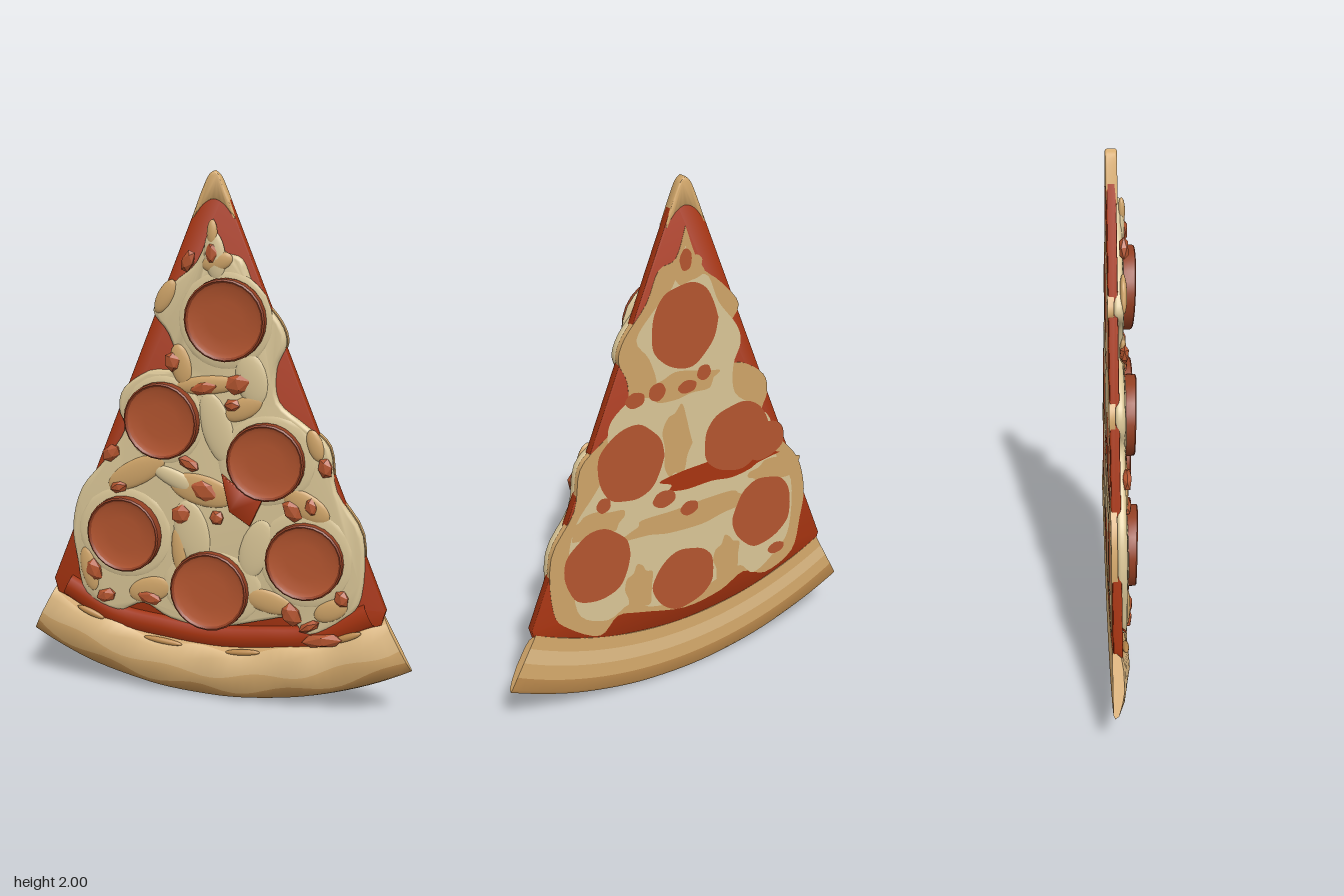
import * as THREE from 'three';
import { toCreasedNormals } from 'three/addons/utils/BufferGeometryUtils.js';

const paint = (name, color) => {
  const m = new THREE.MeshStandardMaterial({ color });
  m.name = name;
  return m;
};
const cheese = paint('cheese', 0xd9c596);
const browned = paint('browned cheese', 0xcfa468);
const sauce = paint('tomato sauce', 0xa83410);
const meat = paint('pepperoni', 0xb4552f);
const meatRim = paint('pepperoni rim', 0x923f22);
const crustLight = paint('light crust', 0xe2bd85);
const crustMid = paint('golden crust', 0xd6aa6c);
const crustDark = paint('baked crust', 0xbd8b4e);

const BACK = -0.055;

// Ragged outline of the melted cheese
const CHEESE = [
  [0, 1.83], [-0.06, 1.68], [-0.15, 1.6], [-0.23, 1.5], [-0.17, 1.41], [-0.14, 1.29], [-0.25, 1.27],
  [-0.35, 1.2], [-0.37, 1.12], [-0.35, 1.04], [-0.43, 0.92], [-0.53, 0.8], [-0.57, 0.65], [-0.555, 0.52],
  [-0.52, 0.38], [-0.39, 0.32], [-0.28, 0.36], [-0.17, 0.31], [0, 0.29], [0.2, 0.34], [0.3, 0.36],
  [0.38, 0.3], [0.51, 0.38], [0.57, 0.47], [0.57, 0.7], [0.47, 0.86], [0.44, 1.02], [0.35, 1.1],
  [0.25, 1.18], [0.24, 1.3], [0.275, 1.39], [0.25, 1.47], [0.16, 1.58], [0.11, 1.69], [0.04, 1.72],
];

function smoothShape(points) {
  const closed = [...points, points[0]].map(([x, y]) => new THREE.Vector2(x, y));
  const samples = new THREE.SplineCurve(closed).getPoints(points.length * 4);
  samples.pop();
  return new THREE.Shape(samples);
}
const polygon = (points) => new THREE.Shape(points.map(([x, y]) => new THREE.Vector2(x, y)));

// Wobbly round outline
function blobShape(x, y, rx, ry, wobble = 0.12) {
  const pts = [];
  for (let i = 0; i < 14; i++) {
    const a = (i / 14) * Math.PI * 2;
    const k = 1 + wobble * Math.sin(3 * a + x * 31 + y * 17) * Math.cos(2 * a + y * 23);
    pts.push([x + rx * k * Math.cos(a), y + ry * k * Math.sin(a)]);
  }
  return smoothShape(pts);
}

// Slab between two depths, with an optional rounded edge
function slab(shape, z0, z1, bevel = 0) {
  const g = new THREE.ExtrudeGeometry(shape, {
    depth: z1 - z0 - 2 * bevel, bevelEnabled: bevel > 0, bevelSize: bevel,
    bevelThickness: bevel, bevelOffset: -bevel, bevelSegments: 3,
  });
  g.translate(0, 0, z0 + bevel);
  return toCreasedNormals(g, 0.8);
}

// Curved rim swept along an arc, coloured in bands
function crustGeometry() {
  const cy = 1.615, half = 0.49, n = 36;
  const section = [
    [1.6, BACK], [1.615, -0.045], [1.606, -0.022], [1.57, 0], [1.51, 0.013], [1.45, 0.01],
    [1.412, -0.002], [1.375, -0.03], [1.375, BACK], [1.43, BACK], [1.49, BACK], [1.55, BACK],
  ];
  const bands = [2, 2, 2, 1, 0, 0, 1, 1, 1, 0, 1, 2];
  const m = section.length, pos = [], lists = [[], [], []];
  for (let i = 0; i <= n; i++) {
    const u = (i / n) * 2 - 1, a = u * half;
    const swell = 1 - 0.45 * Math.abs(u) ** 7 + 0.05 * Math.sin(u * 17);
    section.forEach(([r, z], j) => {
      const rr = r + (j > 2 && j < 8 ? 0.012 * Math.sin(u * 13 + j * 2) : 0);
      pos.push(rr * Math.sin(a), cy - rr * Math.cos(a), BACK + (z - BACK) * swell);
    });
  }
  for (let i = 0; i < n; i++) {
    for (let j = 0; j < m; j++) {
      const k = (j + 1) % m, a = i * m + j, b = a + m, c = (i + 1) * m + k, d = i * m + k;
      lists[bands[j]].push(a, b, c, a, c, d);
    }
  }
  for (let j = 1; j < m - 1; j++) {
    lists[1].push(0, j, j + 1, n * m, n * m + j + 1, n * m + j);
  }
  const g = new THREE.BufferGeometry();
  g.setAttribute('position', new THREE.Float32BufferAttribute(pos, 3));
  g.setIndex(lists.flat());
  let start = 0;
  lists.forEach((l, i) => { g.addGroup(start, l.length, i); start += l.length; });
  return toCreasedNormals(g, 0.9);
}

// Cupped slice with a raised rim
function pepperoni(x, y, r, tiltX, tiltY) {
  const group = new THREE.Group();
  group.name = 'pepperoniSlice';
  const lathe = (pts, mat, name) => {
    const g = new THREE.LatheGeometry(pts.map(([a, b]) => new THREE.Vector2(a * r, b)), 24);
    const mesh = new THREE.Mesh(toCreasedNormals(g.rotateX(Math.PI / 2), 0.6), mat);
    mesh.name = name;
    group.add(mesh);
  };
  lathe([[0.97, -0.012], [1, 0.015], [0.99, 0.04], [0.95, 0.044], [0.9, 0.036]], meatRim, 'pepperoniRim');
  lathe([[0.9, 0.036], [0.8, 0.03], [0.45, 0.027], [0, 0.026]], meat, 'pepperoniFace');
  group.position.set(x, y, 0);
  group.rotation.set(tiltX, tiltY, 0);
  return group;
}

export function createModel() {
  const model = new THREE.Group();
  const add = (name, geometry, material) => {
    const mesh = new THREE.Mesh(geometry, material);
    mesh.name = name;
    model.add(mesh);
    return mesh;
  };

  // Sauce-covered base, pointed tip and rim
  add('sauceBase', slab(polygon([
    [-0.045, 1.93], [0.045, 1.93], [0.66, 0.42], [0.645, 0.365], [0.34, 0.24], [0, 0.2], [-0.34, 0.24], [-0.645, 0.365], [-0.66, 0.42],
  ]), -0.053, -0.018, 0.006), sauce);
  add('doughTip', slab(smoothShape([
    [0, 2], [-0.025, 1.975], [-0.065, 1.88], [-0.08, 1.83], [-0.04, 1.88], [0, 1.9], [0.04, 1.88], [0.08, 1.83], [0.065, 1.88], [0.025, 1.975],
  ]), -0.0545, -0.014, 0.006), crustMid);
  add('crust', crustGeometry(), [crustLight, crustMid, crustDark]);

  // Thick sauce ridge beside the crust
  const ridge = new THREE.CatmullRomCurve3([[-0.6, 0.4], [-0.4, 0.3], [-0.2, 0.27], [0, 0.255], [0.2, 0.27], [0.4, 0.3], [0.6, 0.4]]
    .map(([x, y]) => new THREE.Vector3(x, y, 0)));
  const ridgeGeo = new THREE.TubeGeometry(ridge, 40, 0.045, 8);
  ridgeGeo.scale(1, 1, 0.45).translate(0, 0, -0.018);
  add('sauceRidge', ridgeGeo, sauce);

  // Cheese layer with a browned lower edge
  const outline = smoothShape(CHEESE);
  add('cheeseEdge', slab(outline, -0.054, -0.032), browned);
  add('cheeseLayer', slab(outline, -0.034, 0.002, 0.014), cheese);

  // Flattened lumps: [x, y, half width, half height, turn]
  const lumps = (name, list, material, depth, z, detail) => list.forEach(([x, y, w, h, turn]) => {
    const mesh = add(name, new THREE.IcosahedronGeometry(1, detail), material);
    mesh.scale.set(w, h, depth);
    mesh.rotation.z = turn;
    mesh.position.set(x, y, z);
  });
  lumps('cheeseMound', [
    [0.05, 1.47, 0.18, 0.18, 0], [-0.19, 1.09, 0.16, 0.17, 0], [0.21, 0.96, 0.19, 0.17, 0.3],
    [-0.35, 0.64, 0.19, 0.18, 0], [0, 0.45, 0.2, 0.15, 0], [0.36, 0.6, 0.18, 0.19, 0],
    [0.02, 1.07, 0.06, 0.14, 0.3], [-0.08, 0.66, 0.07, 0.13, 0.2], [0.17, 0.62, 0.06, 0.12, -0.3],
    [-0.13, 0.86, 0.12, 0.035, -0.4], [0.15, 1.26, 0.06, 0.1, 0.2], [0.01, 1.7, 0.04, 0.09, 0.1],
  ], cheese, 0.014, 0, 3);
  lumps('brownedPatch', [
    [-0.12, 1.3, 0.04, 0.08, 0.2], [-0.02, 1.23, 0.13, 0.035, 0.1], [-0.3, 0.88, 0.13, 0.05, 0.5], [-0.04, 0.83, 0.13, 0.06, -0.2],
    [0.36, 0.8, 0.1, 0.05, -0.5], [-0.5, 0.48, 0.035, 0.09, 0.2], [-0.25, 0.42, 0.09, 0.05, 0.3], [0.22, 0.42, 0.1, 0.045, -0.2],
    [0.46, 0.41, 0.07, 0.04, 0.5], [0.02, 1.68, 0.06, 0.035, 0.3], [-0.13, 0.58, 0.03, 0.1, 0.1], [0.12, 1.15, 0.08, 0.04, 0.5],
    [-0.18, 1.55, 0.03, 0.07, -0.5], [0.39, 1.03, 0.03, 0.06, 0.3], [0.0, 1.78, 0.02, 0.05, 0],
  ], browned, 0.013, 0.001, 2);
  lumps('crustBlister', [
    [-0.5, 0.3, 0.06, 0.014, -0.35], [-0.2, 0.215, 0.08, 0.012, -0.1], [0.12, 0.205, 0.07, 0.012, 0.1], [0.52, 0.31, 0.06, 0.014, 0.4],
  ], crustDark, 0.012, -0.002, 2);

  // Exposed sauce and chopped topping bits
  add('sauceOpening', slab(polygon([[0.04, 0.9], [0.07, 0.76], [0.15, 0.71], [0.2, 0.82], [0.12, 0.84]]), 0, 0.017, 0.003), sauce);
  lumps('toppingBit', [
    [-0.03, 1.22, 0.06, 0.028, 0.2], [0.1, 1.24, 0.055, 0.04, 0.3], [0.08, 1.16, 0.035, 0.025, 0], [-0.15, 1.31, 0.035, 0.04, 0.4],
    [-0.03, 0.83, 0.06, 0.045, -0.4], [-0.12, 0.73, 0.045, 0.04, 0.5], [-0.09, 0.93, 0.05, 0.025, -0.5], [0.02, 0.73, 0.03, 0.03, 0],
    [0.31, 0.78, 0.035, 0.05, 0.6], [0.38, 0.8, 0.025, 0.04, 0.3], [-0.48, 0.48, 0.035, 0.05, 0.4], [-0.43, 0.38, 0.045, 0.028, 0.3],
    [-0.25, 0.39, 0.055, 0.03, -0.2], [-0.4, 0.95, 0.045, 0.03, 0.7], [-0.37, 0.82, 0.04, 0.025, 0.3], [0.31, 0.38, 0.04, 0.05, 0.6],
    [0.43, 0.29, 0.09, 0.028, 0.15], [0.38, 0.34, 0.05, 0.02, 0.5], [0.0, 1.71, 0.025, 0.045, 0], [-0.09, 1.68, 0.025, 0.045, -0.4],
    [0.5, 0.46, 0.03, 0.035, 0.2], [0.43, 0.95, 0.03, 0.04, 0.2],
  ], meat, 0.018, 0.006, 0);

  [[0.055, 1.475, 0.152, 0.05, 0.02], [-0.19, 1.09, 0.146, 0.02, -0.03], [0.21, 0.96, 0.146, 0.02, 0.03],
    [-0.345, 0.64, 0.148, 0.02, -0.04], [-0.005, 0.445, 0.152, -0.03, 0], [0.36, 0.595, 0.146, 0, 0.04],
  ].forEach((p) => model.add(pepperoni(...p)));

  // Flat underside markings
  const under = (name, shape, material, z) => {
    const g = new THREE.ShapeGeometry(shape);
    g.rotateY(Math.PI);
    add(name, g, material).position.z = z;
  };
  const mirrored = (pts, sx, sy, cy) => smoothShape(pts.map(([x, y]) => [-x * sx, cy + (y - cy) * sy]));
  under('underCheese', mirrored(CHEESE.map(([x, y]) => [-x, y]), 0.88, 0.93, 0.85), cheese, -0.0544);
  [[0, 1.24, 0.16, 0.05], [0, 0.7, 0.3, 0.05], [0.03, 1.0, 0.06, 0.14], [0.4, 0.78, 0.12, 0.05], [-0.4, 0.78, 0.12, 0.05],
    [0.2, 0.46, 0.06, 0.1], [-0.2, 0.46, 0.06, 0.1], [0, 1.68, 0.07, 0.05],
  ].forEach(([x, y, w, h]) => under('underBrownedPatch', blobShape(-x, y, w, h, 0.3), browned, -0.0548));
  under('underSauce', blobShape(0.16, 0.85, 0.25, 0.05, 0.3), sauce, -0.0551);
  [[0, 1.47, 0.14, 0.16], [0.23, 0.98, 0.14, 0.15], [-0.23, 0.97, 0.15, 0.14], [-0.36, 0.92, 0.1, 0.08],
    [0.38, 0.61, 0.14, 0.15], [-0.36, 0.61, 0.14, 0.15], [0, 0.43, 0.14, 0.13],
    [0.21, 1.23, 0.04, 0.03], [0.12, 1.24, 0.035, 0.035], [-0.01, 1.23, 0.04, 0.025], [-0.08, 1.27, 0.03, 0.03],
    [0, 1.71, 0.025, 0.04], [0.09, 0.8, 0.05, 0.035], [-0.02, 0.73, 0.04, 0.03], [-0.44, 0.42, 0.04, 0.025], [0.35, 0.85, 0.03, 0.03],
  ].forEach(([x, y, w, h]) => under('underPepperoni', blobShape(-x, y, w, h, 0.06), meat, -0.0555));

  return model;
}
